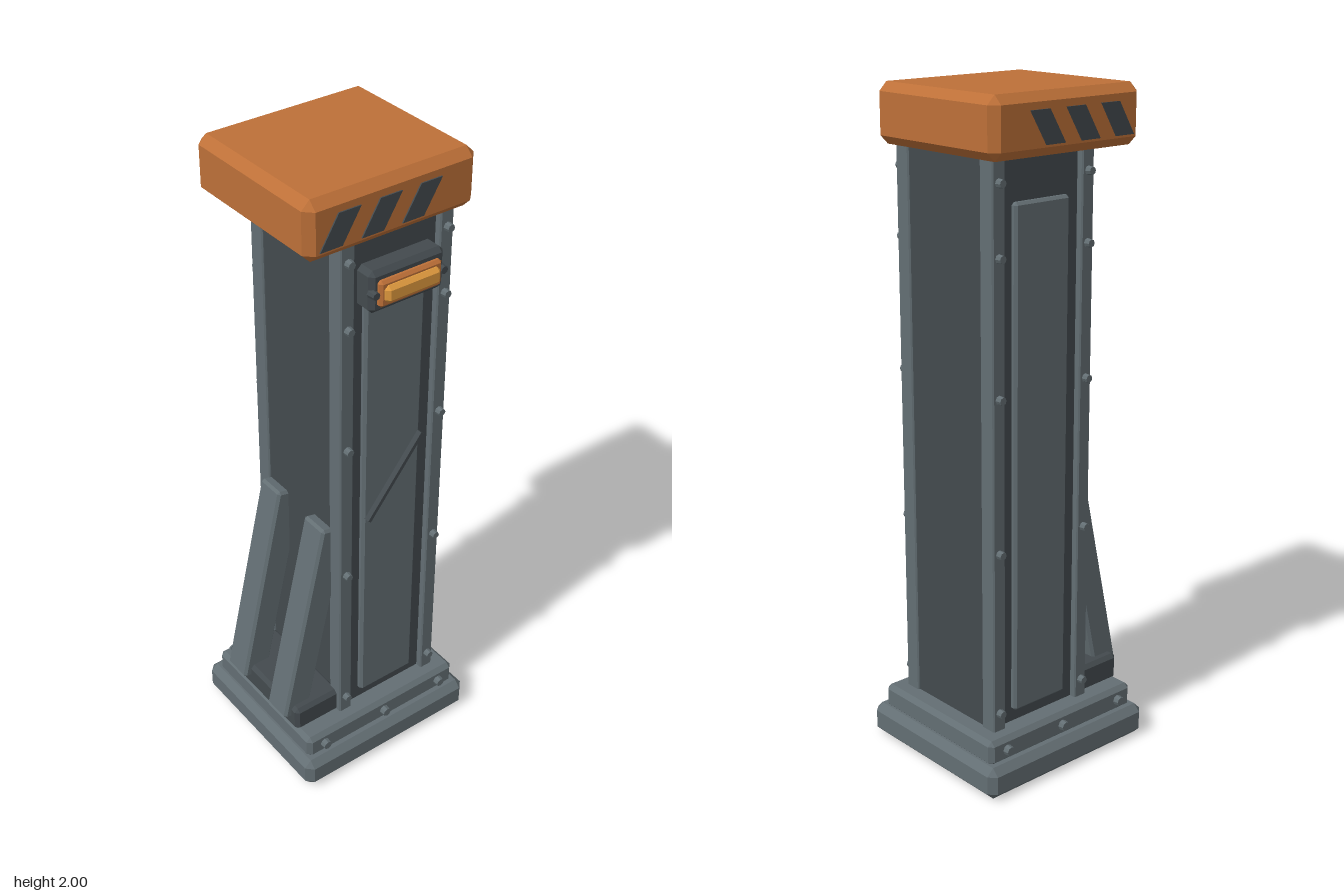
import * as THREE from 'three';
import { ConvexGeometry } from 'three/addons/geometries/ConvexGeometry.js';

const paint = (name, color) => {
  const m = new THREE.MeshStandardMaterial({ color });
  m.name = name;
  return m;
};

// Box with flat chamfered edges, given by its ranges
function chamferBox([x0, x1], [y0, y1], [z0, z1], c) {
  const h = [(x1 - x0) / 2, (y1 - y0) / 2, (z1 - z0) / 2];
  const points = [];
  for (const sx of [-1, 1]) for (const sy of [-1, 1]) for (const sz of [-1, 1]) {
    for (let axis = 0; axis < 3; axis++) {
      const p = h.map((v, i) => (i === axis ? v : v - c));
      points.push(new THREE.Vector3(p[0] * sx, p[1] * sy, p[2] * sz));
    }
  }
  return new ConvexGeometry(points).translate((x0 + x1) / 2, (y0 + y1) / 2, (z0 + z1) / 2);
}

export function createModel() {
  const model = new THREE.Group();
  model.name = 'pillar';

  const steel = paint('steel', 0x636e73);
  const dark = paint('dark steel', 0x434a4e);
  const orange = paint('orange paint', 0xbd7038);
  const amber = paint('amber lamp', 0xe09a3e);

  const add = (name, geometry, material, parent = model) => {
    const mesh = new THREE.Mesh(geometry, material);
    mesh.name = name;
    parent.add(mesh);
    return mesh;
  };
  const block = (name, x, y, z, c, material) => add(name, chamferBox(x, y, z, c), material);

  // Stepped foot, shaft core and cap
  block('base', [-0.313, 0.313], [0, 0.1], [-0.285, 0.285], 0.022, steel);
  block('plinth', [-0.287, 0.287], [0.09, 0.168], [-0.25, 0.25], 0.014, steel);
  block('shaftCore', [-0.128, 0.228], [0.15, 1.85], [-0.183, 0.183], 0.004, dark);
  block('cap', [-0.27, 0.27], [1.83, 2], [-0.25, 0.25], 0.025, orange);

  // Corner posts
  for (const x of [[-0.135, -0.09], [0.19, 0.235]]) {
    for (const z of [[-0.204, -0.15], [0.15, 0.204]]) {
      block('cornerPost', x, [0.16, 1.84], z, 0.004, steel);
    }
  }

  // Panels on front and back
  block('frontPanel', [-0.05, 0.15], [0.205, 1.71], [0.17, 0.2], 0.008, steel);
  block('backPanel', [-0.05, 0.15], [0.205, 1.71], [-0.2, -0.17], 0.008, steel);

  // Diagonal bar across the front panel
  const bar = add('diagonalBar', new THREE.BoxGeometry(0.3, 0.012, 0.025), dark);
  bar.position.set(0.053, 1.018, 0.205);
  bar.rotation.z = Math.atan2(0.235, 0.185);

  // Rivets on posts and plinth, front and back
  const rivetGeometry = (r) =>
    new THREE.CylinderGeometry(r * 0.8, r, 0.025, 8).toNonIndexed().rotateX(Math.PI / 2);
  const postRivet = rivetGeometry(0.014);
  const plinthRivet = rivetGeometry(0.017);
  for (const g of [postRivet, plinthRivet]) g.computeVertexNormals();
  const rivets = new THREE.Group();
  rivets.name = 'rivets';
  model.add(rivets);
  for (const side of [-1, 1]) {
    const rivet = (geometry, x, y, z) => {
      const mesh = add('rivet', geometry, steel, rivets);
      mesh.position.set(x, y, z * side);
      if (side < 0) mesh.rotation.y = Math.PI;
    };
    for (const x of [-0.112, 0.213]) {
      for (const y of [0.225, 0.725, 1.18, 1.57, 1.77]) rivet(postRivet, x, y, 0.209);
    }
    for (const x of [-0.227, 0.005, 0.224]) rivet(plinthRivet, x, 0.13, 0.255);
  }

  // Slanted warning stripes on the cap
  const stripe = new THREE.Shape();
  stripe.moveTo(-0.235, 1.862);
  stripe.lineTo(-0.167, 1.862);
  stripe.lineTo(-0.11, 1.955);
  stripe.lineTo(-0.178, 1.955);
  const stripeGeometry = new THREE.ExtrudeGeometry(stripe, { depth: 0.006, bevelEnabled: false });
  for (const z of [0.248, -0.254]) {
    for (let i = 0; i < 3; i++) {
      add('warningStripe', stripeGeometry, dark).position.set(i * 0.128, 0, z);
    }
  }

  // Lamp: housing, frame and lens
  block('lampHousing', [-0.068, 0.178], [1.615, 1.74], [0.17, 0.243], 0.014, dark);
  block('lampFrame', [-0.048, 0.157], [1.637, 1.715], [0.22, 0.258], 0.008, orange);
  block('lampLens', [-0.036, 0.145], [1.651, 1.702], [0.24, 0.272], 0.011, amber);
  for (const x of [-0.058, 0.167]) {
    add('lampBolt', postRivet, dark).position.set(x, 1.677, 0.242).multiply(new THREE.Vector3(1, 1, 1));
  }

  // Side bracket with two slanted braces
  block('braceFoot', [-0.287, -0.12], [0.16, 0.245], [-0.187, 0.187], 0.012, dark);
  for (const z of [-0.11, 0.11]) {
    const brace = add('brace', chamferBox([-0.045, 0.045], [-0.347, 0.347], [-0.048, 0.048], 0.008), steel);
    brace.position.set(-0.193, 0.535, z);
    brace.rotation.z = -0.22;
  }

  return model;
}
